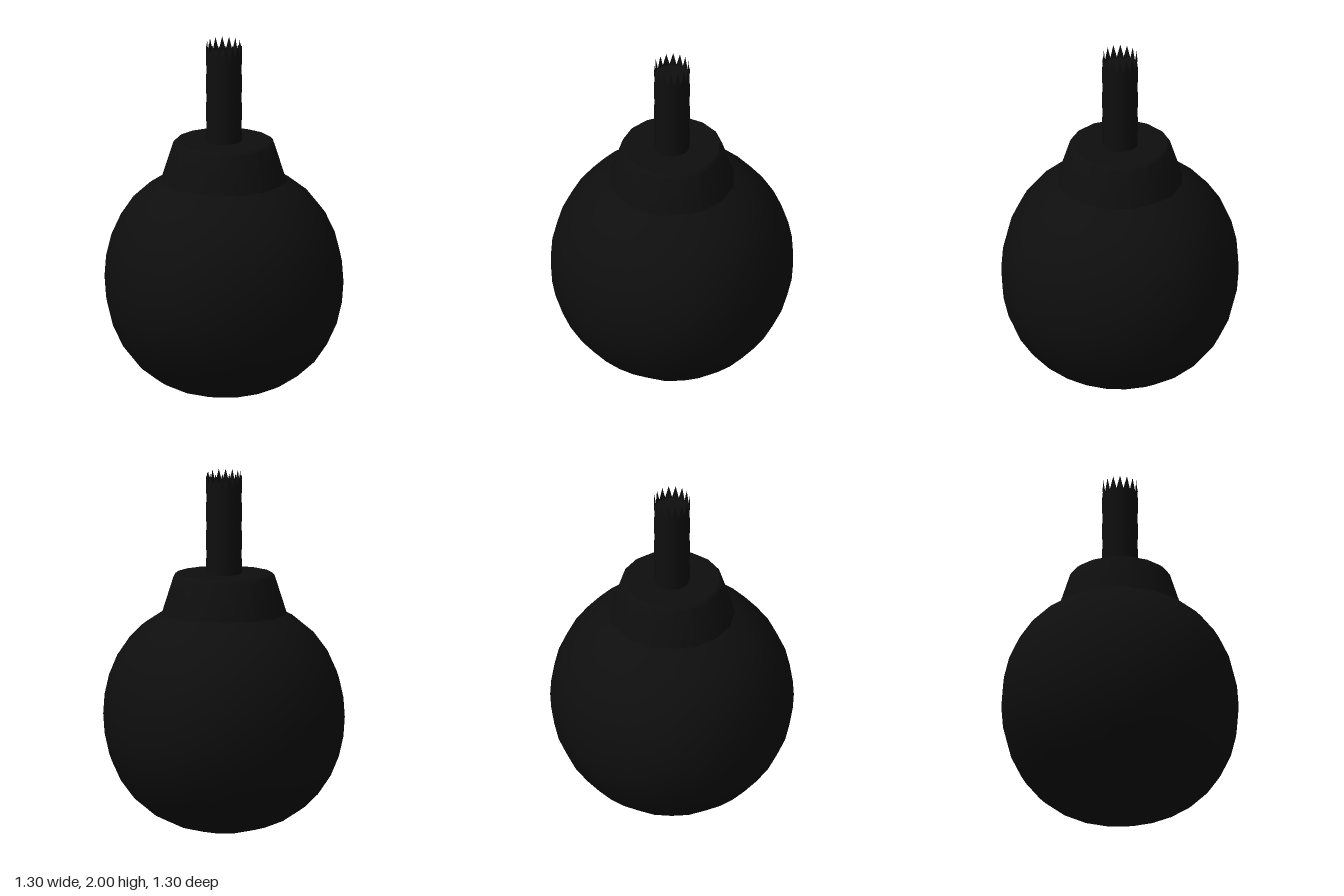
import * as THREE from 'three';
import { mergeVertices, toCreasedNormals } from 'three/addons/utils/BufferGeometryUtils.js';

const black = new THREE.MeshStandardMaterial({ color: 0x0e0e0e });
black.name = 'black';
const fuseBlack = new THREE.MeshStandardMaterial({ color: 0x0e0e0e, side: THREE.DoubleSide });
fuseBlack.name = 'fuse black';

function addPart(group, name, geometry, material) {
  const mesh = new THREE.Mesh(geometry, material);
  mesh.name = name;
  group.add(mesh);
  return mesh;
}

// Ball: a rounded, subdivided cube, slightly fuller on its diagonals
function ballGeometry() {
  let geo = new THREE.BoxGeometry(2, 2, 2, 8, 8, 8);
  geo.deleteAttribute('uv');
  geo.deleteAttribute('normal');
  geo = mergeVertices(geo);
  const pos = geo.attributes.position;
  const v = new THREE.Vector3();
  for (let i = 0; i < pos.count; i++) {
    v.fromBufferAttribute(pos, i);
    v.set(...v.toArray().map((c) => Math.tan((c * Math.PI) / 4))).normalize();
    const x = v.x * v.x, y = v.y * v.y, z = v.z * v.z;
    v.multiplyScalar(0.648 + 0.08 * (x * y + y * z + z * x));
    pos.setXYZ(i, v.x, v.y, v.z);
  }
  geo.computeVertexNormals();
  return geo;
}

// Fuse: a tube with a faint twisted ripple and a ragged, toothed rim
function fuseGeometry(bottom, top, radius, teeth) {
  const rows = 14, height = top - bottom, valley = top - 0.075;
  const geo = new THREE.CylinderGeometry(radius, radius, height, teeth * 2, rows, true);
  geo.translate(0, bottom + height / 2, 0);
  const pos = geo.attributes.position;
  const columns = teeth * 2 + 1;
  for (let i = 0; i < pos.count; i++) {
    const row = Math.floor(i / columns), column = i % columns;
    const angle = (column / (teeth * 2)) * Math.PI * 2;
    // row 0 is the rim; the rows below it divide the plain tube
    let y = valley - ((row - 1) / (rows - 1)) * (valley - bottom);
    if (row === 0) y = column % 2 ? top : valley + 0.001;
    const r = radius - 0.002 + 0.002 * Math.cos(4 * angle + y * 40);
    pos.setXYZ(i, Math.sin(angle) * r, y, Math.cos(angle) * r);
  }
  return geo;
}

export function createModel() {
  const group = new THREE.Group();
  group.name = 'bomb';

  addPart(group, 'ball', ballGeometry(), black).position.y = 0.648;

  // Tapered collar with a small bevel around its flat top
  const collarProfile = [
    [0.362, 1.16], [0.34, 1.23], [0.278, 1.424], [0.264, 1.436], [0, 1.436],
  ].map(([r, y]) => new THREE.Vector2(r, y));
  const collar = toCreasedNormals(new THREE.LatheGeometry(collarProfile, 16), 0.6);
  addPart(group, 'collar', collar, black);

  addPart(group, 'fuse', fuseGeometry(1.42, 2, 0.1, 16), fuseBlack);

  // Disc closing the fuse just below its teeth
  const cap = new THREE.CircleGeometry(0.096, 32).rotateX(-Math.PI / 2);
  addPart(group, 'fuseEnd', cap, black).position.y = 1.92;

  return group;
}
